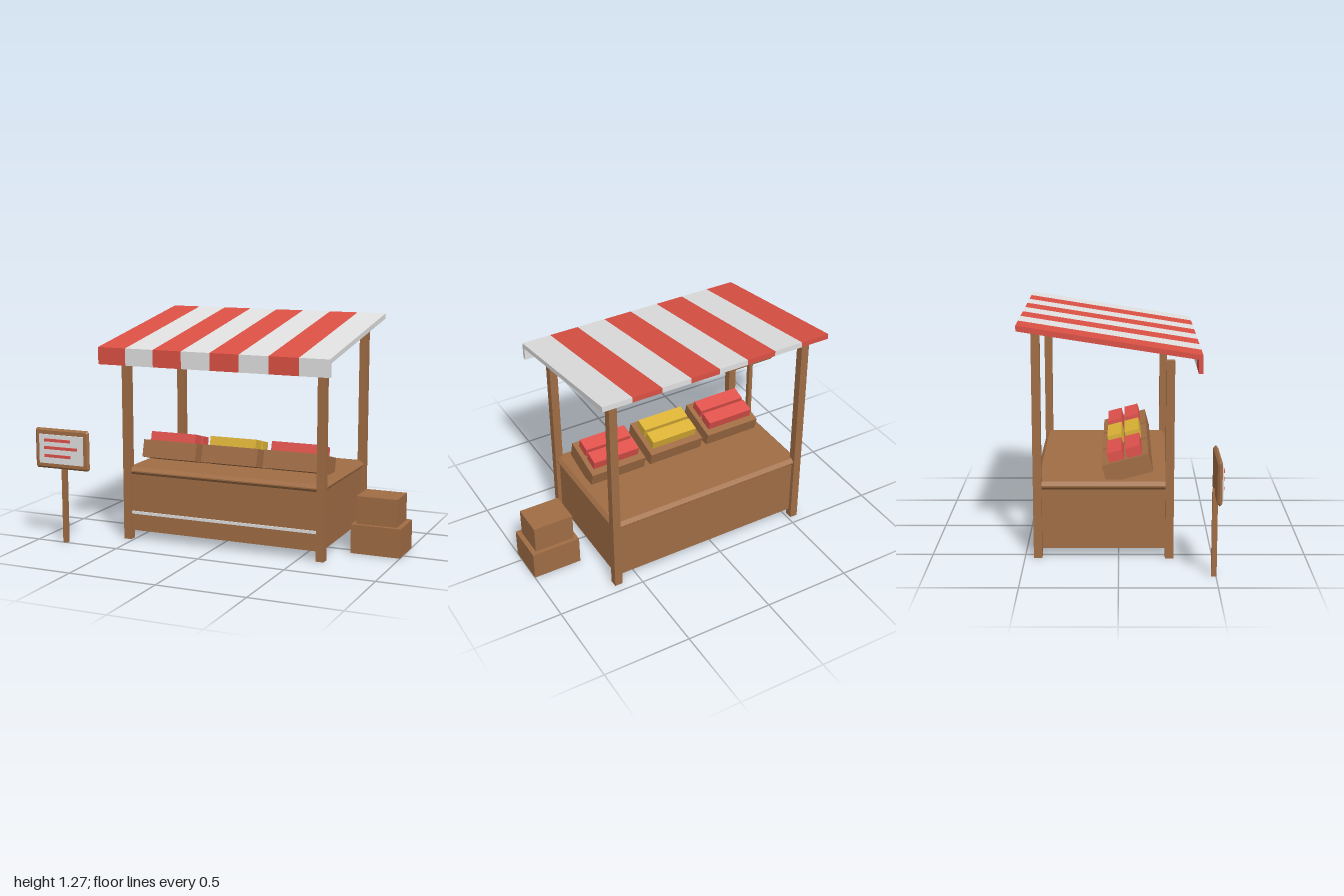
import * as THREE from 'three';

const material = (name, color) => {
  const m = new THREE.MeshStandardMaterial({ color });
  m.name = name;
  return m;
};

export function createModel() {
  const wood = material('wood', 0xa06d45);
  const red = material('awning red', 0xdb5044);
  const white = material('white', 0xe0e0e0);
  const fruitRed = material('fruit red', 0xe0524c);
  const fruitYellow = material('fruit yellow', 0xdcb236);

  const model = new THREE.Group();
  model.name = 'marketStall';

  const add = (name, geometry, mat, parent = model) => {
    const mesh = new THREE.Mesh(geometry, mat);
    mesh.name = name;
    parent.add(mesh);
    return mesh;
  };

  // Box given by its low and high limits on each axis
  const box = (name, mat, [x0, x1], [y0, y1], [z0, z1], parent = model) => {
    const mesh = add(name, new THREE.BoxGeometry(x1 - x0, y1 - y0, z1 - z0), mat, parent);
    mesh.position.set((x0 + x1) / 2, (y0 + y1) / 2, (z0 + z1) / 2);
    return mesh;
  };

  // Chamfered board, w by h, with thickness along z
  const board = (w, h, thickness, bevel) => {
    const x = w / 2 - bevel, y = h / 2 - bevel, c = bevel * 0.4;
    const shape = new THREE.Shape([
      [-x + c, -y], [x - c, -y], [x, -y + c], [x, y - c],
      [x - c, y], [-x + c, y], [-x, y - c], [-x, -y + c],
    ].map(p => new THREE.Vector2(...p)));
    return new THREE.ExtrudeGeometry(shape, {
      depth: thickness - 2 * bevel, bevelEnabled: true,
      bevelThickness: bevel, bevelSize: bevel, bevelSegments: 1,
    }).center();
  };

  // Four corner posts, taller at the back
  const midX = 0.043, midZ = -0.08, halfX = 0.581, halfZ = 0.35, r = 0.0225;
  for (const sx of [-1, 1]) {
    for (const sz of [-1, 1]) {
      const x = midX + sx * halfX, z = midZ + sz * halfZ;
      box(sz > 0 ? 'frontPost' : 'backPost', wood,
        [x - r, x + r], [0, sz > 0 ? 1.072 : 1.213], [z - r, z + r]);
    }
  }

  // Counter with chamfered top and a pale front stripe
  box('counterBody', wood, [midX - halfX, midX + halfX], [0.05, 0.385], [midZ - halfZ, midZ + halfZ]);
  const top = add('counterTop', board(2 * halfX + 0.03, 2 * halfZ + 0.03, 0.045, 0.019).rotateX(-Math.PI / 2), wood);
  top.position.set(midX, 0.3955, midZ);
  box('counterStripe', white, [midX - halfX, midX + halfX], [0.147, 0.163], [0.269, 0.277]);

  // Sloping awning with a front valance, cut into eight stripes
  const profile = new THREE.Shape([
    [0.433, 1.018], [0.433, 1.113], [-0.523, 1.266], [-0.523, 1.236], [0.41, 1.09], [0.41, 1.018],
  ].map(p => new THREE.Vector2(...p)));
  const awning = new THREE.Group();
  awning.name = 'awning';
  model.add(awning);
  const stripeWidth = 0.168;
  for (let i = 0; i < 8; i++) {
    const geometry = new THREE.ExtrudeGeometry(profile, { depth: stripeWidth, bevelEnabled: false });
    geometry.rotateY(-Math.PI / 2);
    add('awningStripe', geometry, i % 2 ? white : red, awning).position.x = -0.628 + stripeWidth * (i + 1);
  }

  // Tilted crates, each with two rows of produce
  [fruitRed, fruitYellow, fruitRed].forEach((mat, i) => {
    const crate = new THREE.Group();
    crate.name = 'produceCrate';
    crate.position.set(-0.329 + i * 0.371, 0.478, 0.047);
    crate.rotation.x = -Math.PI / 12;
    model.add(crate);
    box('crateBox', wood, [-0.166, 0.166], [-0.05, 0.05], [-0.128, 0.128], crate);
    for (const z of [-0.046, 0.054]) {
      box('produceRow', mat, [-0.139, 0.139], [0.03, 0.102], [z - 0.041, z + 0.041], crate);
    }
  });

  // Stacked boxes beside the stall
  box('lowerBox', wood, [0.72, 1], [0, 0.163], [-0.171, 0.06]);
  box('upperBox', wood, [0.742, 0.973], [0.163, 0.318], [-0.148, 0.037]);

  // Standing sign with plain bars
  box('signPost', wood, [-0.838, -0.813], [0, 0.463], [0.475, 0.503]);
  add('signBoard', board(0.342, 0.228, 0.025, 0.011), wood).position.set(-0.829, 0.537, 0.4995);
  box('signPanel', white, [-0.968, -0.69], [0.454, 0.618], [0.511, 0.52]);
  for (const [y, end] of [[0.587, -0.767], [0.544, -0.725], [0.498, -0.767]]) {
    box('signBar', fruitRed, [-0.933, end], [y - 0.008, y + 0.008], [0.519, 0.526]);
  }

  return model;
}
